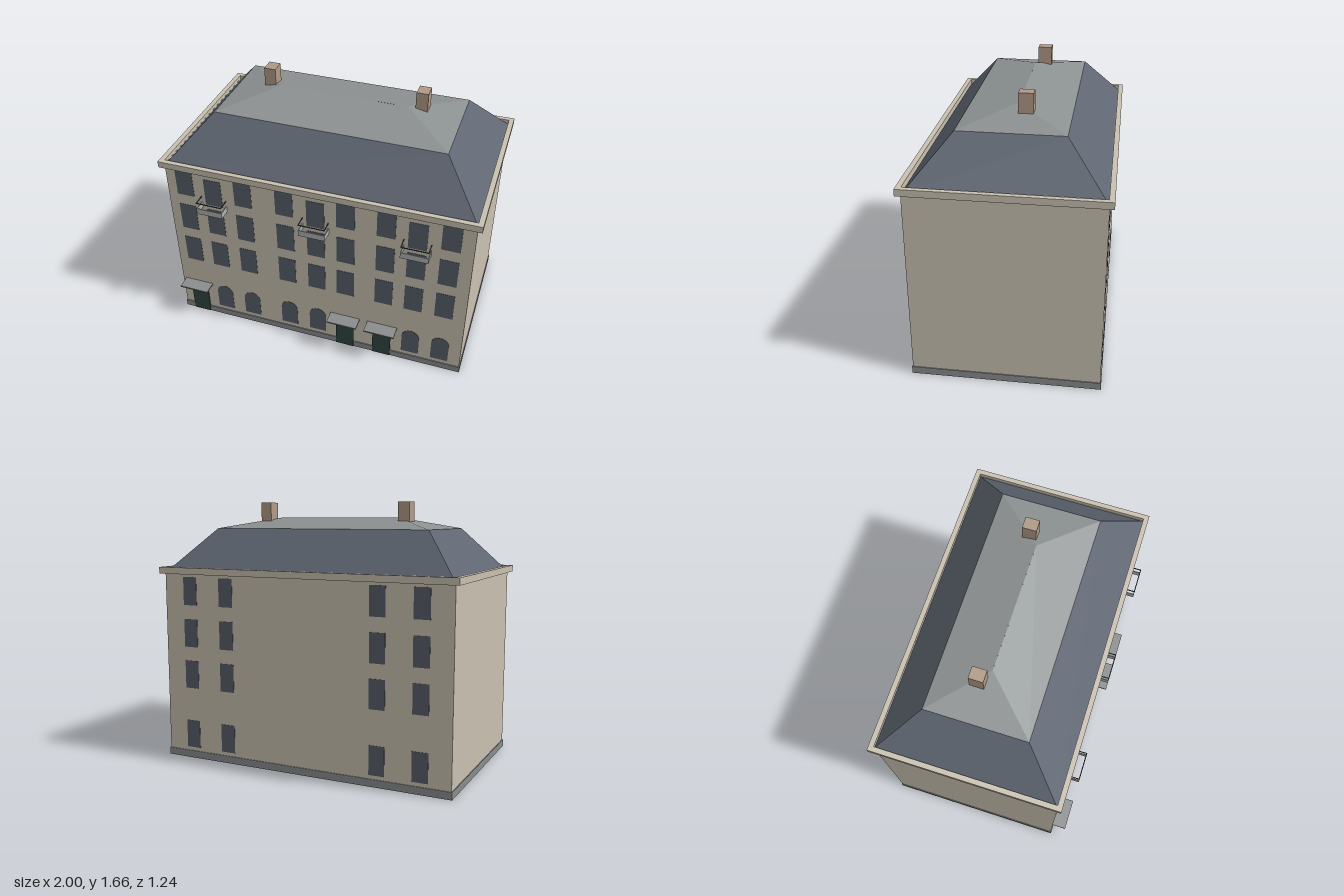
import * as THREE from 'three';

const mat = (name, color, side = THREE.FrontSide) => {
  const m = new THREE.MeshStandardMaterial({ color, side });
  m.name = name;
  return m;
};

export function createModel() {
  const model = new THREE.Group();
  model.name = 'townhouse';

  const plaster = mat('cream plaster', 0xc9c1b1);
  const stone = mat('grey stone', 0x8a8c8e);
  const slate = mat('blue slate', 0x5f6672, THREE.DoubleSide);
  const lead = mat('grey roof sheet', 0x8c9192, THREE.DoubleSide);
  const brick = mat('chimney brick', 0xb09a87);
  const glass = mat('window glass', 0x585f69);
  const paint = mat('green door paint', 0x324640);
  const balconyGrey = mat('balcony grey', 0xb0b1b2);
  const iron = mat('dark iron', 0x404348);

  const add = (name, geometry, material, parent = model) => {
    const mesh = new THREE.Mesh(geometry, material);
    mesh.name = name;
    parent.add(mesh);
    return mesh;
  };

  // Box given by its limits
  const box = (name, [x0, x1], [y0, y1], [z0, z1], material, parent) => {
    const g = new THREE.BoxGeometry(x1 - x0, y1 - y0, z1 - z0);
    g.translate((x0 + x1) / 2, (y0 + y1) / 2, (z0 + z1) / 2);
    return add(name, g, material, parent);
  };

  // Hollow rectangular band, open above and below
  const band = (name, hx, front, back, t, y0, y1, material) => {
    const rect = (P, d) => new P([
      new THREE.Vector2(-hx + d, -front + d), new THREE.Vector2(hx - d, -front + d),
      new THREE.Vector2(hx - d, -back - d), new THREE.Vector2(-hx + d, -back - d),
    ]);
    const shape = rect(THREE.Shape, 0);
    shape.holes.push(rect(THREE.Path, t));
    const g = new THREE.ExtrudeGeometry(shape, { depth: y1 - y0, bevelEnabled: false });
    g.rotateX(-Math.PI / 2);
    g.translate(0, y0, 0);
    return add(name, g, material);
  };

  const FRONT = 0.534, BACK = -0.595, WALL = 0.004;
  band('walls', 0.971, FRONT, BACK, WALL, 0, 1.22, plaster);
  band('plinth', 0.976, FRONT + 0.005, BACK - 0.005, 0.005, 0, 0.046, stone);
  band('cornice', 1, 0.56, -0.622, 0.032, 1.203, 1.245, plaster);

  // Four sloping faces between two level rectangles
  const roofTier = (name, low, high, material) => {
    const ring = ({ x, y, front, back }) =>
      [[-x, y, front], [x, y, front], [x, y, back], [-x, y, back]];
    const a = ring(low), b = ring(high), pos = [];
    for (let i = 0; i < 4; i++) {
      const j = (i + 1) % 4;
      pos.push(...a[i], ...a[j], ...b[j], ...a[i], ...b[j], ...b[i]);
    }
    const g = new THREE.BufferGeometry();
    g.setAttribute('position', new THREE.Float32BufferAttribute(pos, 3));
    g.computeVertexNormals();
    return add(name, g, material);
  };
  const eaves = { x: 0.974, y: 1.206, front: 0.529, back: -0.597 };
  const knee = { x: 0.726, y: 1.49, front: 0.281, back: -0.348 };
  const ridge = { x: 0.41, y: 1.56, front: -0.034, back: -0.0341 };
  roofTier('mansardRoof', eaves, knee, slate);
  roofTier('upperRoof', knee, ridge, lead);

  // Chimneys
  for (const s of [-1, 1]) {
    box('chimney', [s * 0.487 - 0.037, s * 0.487 + 0.037], [1.46, 1.656], [-0.136, -0.048], brick);
  }

  // Thin panes showing on both faces of the wall
  const pane = (name, x, w, y0, y1, wallZ) =>
    box(name, [x - w / 2, x + w / 2], [y0, y1], [wallZ - 0.004, wallZ + 0.004], glass);
  const frontZ = FRONT - WALL / 2, backZ = BACK + WALL / 2;

  const columns = [-0.85, -0.66, -0.46, -0.19, 0.01, 0.2, 0.45, 0.64, 0.835];
  const balconyColumns = [1, 4, 7], doorColumns = [0, 5, 6];

  // Round-headed ground floor window
  const archShape = new THREE.Shape();
  archShape.moveTo(-0.057, 0.075);
  archShape.lineTo(0.057, 0.075);
  archShape.lineTo(0.057, 0.213);
  archShape.absarc(0, 0.213, 0.057, 0, Math.PI, false);
  const archGeometry = new THREE.ExtrudeGeometry(archShape, { depth: 0.008, bevelEnabled: false, curveSegments: 5 });

  // U-shaped strip around a balcony, its open side to the wall
  const surround = (name, y, h, t, material, parent) => {
    const w = 0.085, d = 0.076;
    box(name + 'Front', [-w, w], [y, y + h], [d - t, d], material, parent);
    for (const s of [-1, 1]) {
      const x = s * (w - t / 2);
      box(name + 'Side', [x - t / 2, x + t / 2], [y, y + h], [0, d - t], material, parent);
    }
  };

  columns.forEach((x, i) => {
    const hasBalcony = balconyColumns.includes(i);
    pane('window', x, 0.115, 0.46, 0.656, frontZ);
    pane('window', x, 0.115, 0.732, 0.928, frontZ);
    if (hasBalcony) {
      pane('balconyWindow', x, 0.115, 0.965, 1.158, frontZ);
      const balcony = new THREE.Group();
      balcony.name = 'balcony';
      balcony.position.set(x, 0, FRONT);
      surround('balconyPanel', 0.939, 0.041, 0.005, balconyGrey, balcony);
      surround('balconyRail', 1.017, 0.005, 0.005, iron, balcony);
      model.add(balcony);
    } else {
      pane('window', x, 0.115, 1.005, 1.202, frontZ);
    }
    if (doorColumns.includes(i)) {
      // Door, transom light and flat canopy
      box('door', [x - 0.06, x + 0.06], [0, 0.182], [FRONT, FRONT + 0.008], paint);
      box('transom', [x - 0.06, x + 0.06], [0.182, 0.232], [FRONT, FRONT + 0.004], glass);
      box('canopy', [x - 0.099, x + 0.099], [0.256, 0.266], [FRONT, 0.622], stone);
    } else {
      add('archedWindow', archGeometry, glass).position.set(x, 0, frontZ - 0.004);
    }
  });

  // Rear windows
  for (const x of [-0.782, -0.514, 0.514, 0.782]) {
    for (const y of [0.07, 0.465, 0.735, 1.005]) pane('rearWindow', x, 0.1, y, y + 0.18, backZ);
  }

  return model;
}
